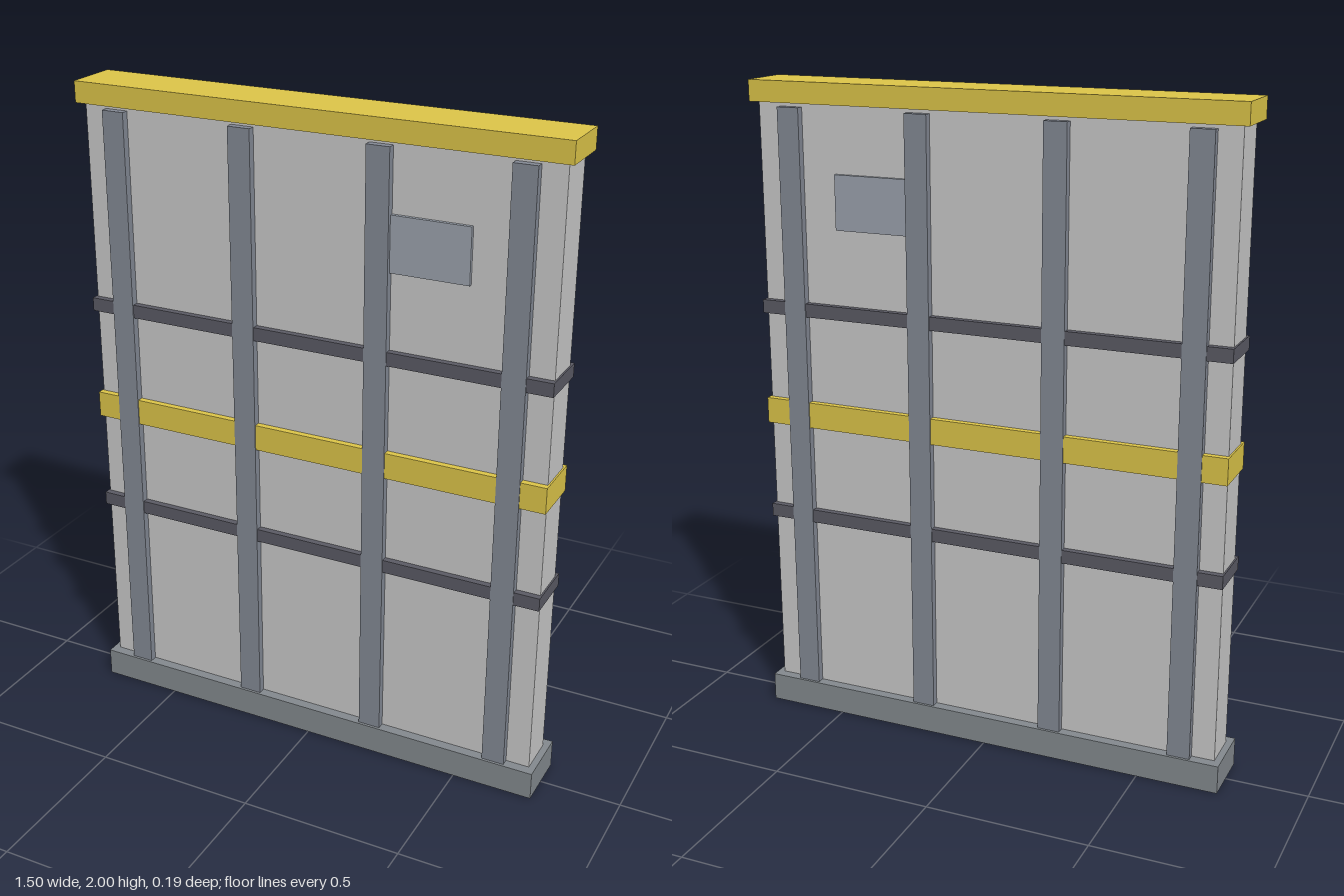
import * as THREE from 'three';

const paint = (color) => new THREE.MeshStandardMaterial({ color });

export function createModel() {
  const wall = new THREE.Group();
  wall.name = 'wallSegment';

  const grey = paint(0xcccccc);
  const yellow = paint(0xe0c84a);
  const steel = paint(0x858b96);
  const baseSteel = paint(0x858b90);
  const darkSteel = paint(0x5c5c66);
  const plateSteel = paint(0x9ea5b0);

  // Box given by its x, y and z ranges
  function block(name, material, [x0, x1], [y0, y1], [z0, z1]) {
    const mesh = new THREE.Mesh(new THREE.BoxGeometry(x1 - x0, y1 - y0, z1 - z0), material);
    mesh.position.set((x0 + x1) / 2, (y0 + y1) / 2, (z0 + z1) / 2);
    mesh.name = name;
    wall.add(mesh);
  }

  // Core slab between the base and the cap
  block('panel', grey, [-0.73, 0.73], [0.05, 1.95], [-0.062, 0.062]);
  block('base', baseSteel, [-0.75, 0.75], [0, 0.088], [-0.093, 0.093]);
  block('cap', yellow, [-0.75, 0.75], [1.937, 2], [-0.085, 0.085]);

  // Bands wrapping the slab
  block('lowerRail', darkSteel, [-0.735, 0.735], [0.642, 0.683], [-0.082, 0.082]);
  block('middleBand', yellow, [-0.735, 0.735], [0.953, 1.033], [-0.082, 0.082]);
  block('upperRail', darkSteel, [-0.735, 0.735], [1.303, 1.344], [-0.082, 0.082]);

  // Upright ribs and a small plate on both faces
  for (const [side, sign] of [['front', 1], ['back', -1]]) {
    const depth = (a, b) => (sign > 0 ? [a, b] : [-b, -a]);
    for (const x of [-0.625, -0.213, 0.21, 0.622]) {
      block(side + 'Rib', steel, [x - 0.035, x + 0.035], [0.08, 1.925], depth(0.055, 0.085));
    }
    block(side + 'Plate', plateSteel, [0.24, 0.48], [1.573, 1.737], depth(0.055, 0.073));
  }

  return wall;
}
